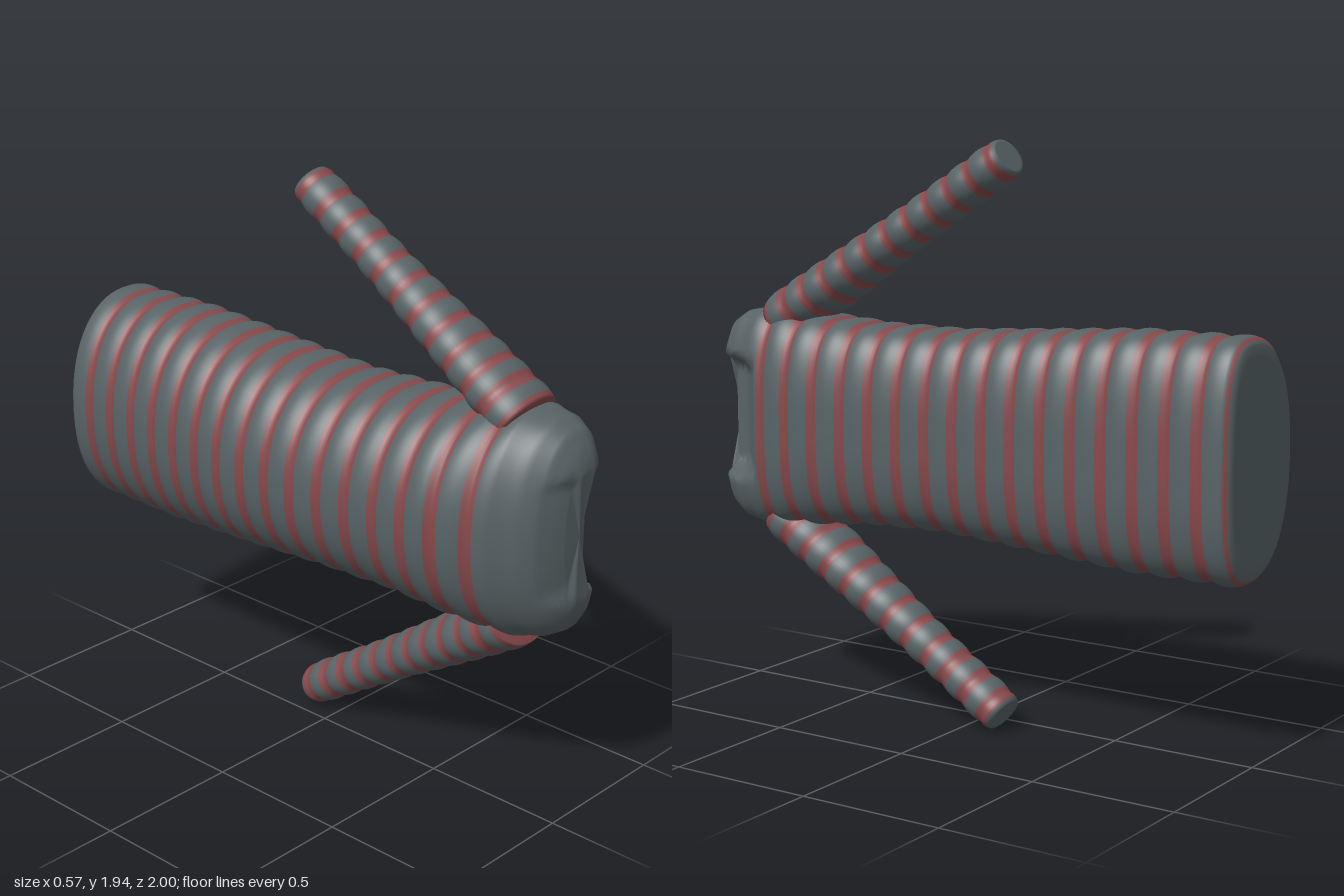
import * as THREE from 'three';

const GREY = new THREE.MeshStandardMaterial({ color: 0x586366 });
const RED = new THREE.MeshStandardMaterial({ color: 0x87494b });
const SIDES = 80;
const smooth = THREE.MathUtils.smoothstep;

// Smoothed lookup in rows of [key, ...values]
function sample(rows, k) {
  let i = 0;
  while (i < rows.length - 2 && k > rows[i + 1][0]) i++;
  const a = rows[i], b = rows[i + 1];
  const t = THREE.MathUtils.clamp((k - a[0]) / (b[0] - a[0]), 0, 1);
  return a.slice(1).map((v, n) => v + (b[n + 1] - v) * t);
}

// Skin closed rings of points; isRed(i) picks the colour of band i.
// Both colours share the same vertices, so shading stays continuous.
function loft(name, rings, isRed) {
  const n = rings[0].length, pos = [], all = [], red = [], grey = [];
  rings.forEach(r => r.forEach(p => pos.push(p.x, p.y, p.z)));
  for (let i = 0; i < rings.length - 1; i++) {
    for (let j = 0; j < n; j++) {
      const a = i * n + j, b = i * n + (j + 1) % n;
      const quad = [a, b, a + n, b, b + n, a + n];
      all.push(...quad);
      (isRed(i) ? red : grey).push(...quad);
    }
  }
  const full = new THREE.BufferGeometry();
  full.setAttribute('position', new THREE.Float32BufferAttribute(pos, 3));
  full.setIndex(all);
  full.computeVertexNormals();
  const group = new THREE.Group();
  group.name = name;
  for (const [label, index, mat] of [['GreyBands', grey, GREY], ['RedBands', red, RED]]) {
    const g = new THREE.BufferGeometry();
    g.setAttribute('position', full.attributes.position);
    g.setAttribute('normal', full.attributes.normal);
    g.setIndex(index);
    const mesh = new THREE.Mesh(g, mat);
    mesh.name = name + label;
    group.add(mesh);
  }
  return group;
}

// Copy of a ring, shrunk towards its middle
function shrink(ring, s) {
  const c = new THREE.Vector3();
  ring.forEach(p => c.addScaledVector(p, 1 / ring.length));
  return ring.map(p => p.clone().sub(c).multiplyScalar(s).add(c));
}

// Rounded rib swelling, one rib per period
const rib = (s, period) => Math.abs(Math.sin(Math.PI * s / period));

// Body outline along z: min x, max x, half height
const BODY = [
  [-1.00, -0.225, 0.18, 0.37], [-0.98, -0.25, 0.195, 0.385], [-0.60, -0.265, 0.21, 0.383],
  [-0.20, -0.285, 0.225, 0.355], [0.10, -0.28, 0.23, 0.335], [0.40, -0.25, 0.25, 0.34],
  [0.62, -0.24, 0.275, 0.36], [0.72, -0.205, 0.27, 0.372], [0.82, -0.17, 0.262, 0.38],
  [0.90, -0.115, 0.245, 0.365], [0.95, -0.07, 0.22, 0.335], [0.985, -0.02, 0.19, 0.28],
  [1.00, 0.02, 0.16, 0.23],
];

function bodyRing(z) {
  const [x0, x1, h] = sample(BODY, z);
  const xc = x0 + 0.6 * (x1 - x0);
  const swell = 0.012 * (rib(z + 1, 0.11) - 0.5) * (1 - smooth(z, 0.75, 0.9));
  const ring = [];
  for (let j = 0; j < SIDES; j++) {
    const t = j / SIDES * Math.PI * 2, c = Math.cos(t), s = Math.sin(t);
    const e = 2 / (c > 0 ? 3 : 2.2);
    const w = (c > 0 ? x1 - xc : xc - x0) + swell;
    const dy = Math.sign(s) * Math.abs(s) ** e * (h + swell);
    let x = xc + Math.sign(c) * Math.abs(c) ** e * w, zz = z;
    // scooped window in the front corner
    const win = 1 - smooth(Math.abs(dy), 0.17, 0.215);
    const limit = 0.24 - 0.12 * smooth(z, 0.79, 0.95);
    if (z > 0.79 && x > limit) x += (limit - x) * win;
    zz -= 0.02 * win * smooth(z, 0.92, 1);
    ring.push(new THREE.Vector3(x, 0.985 + dy, zz));
  }
  return ring;
}

function makeBody() {
  const steps = 200, rings = [], zs = [];
  const add = (ring, z) => { rings.push(ring); zs.push(z); };
  const back = bodyRing(-1), front = bodyRing(1);
  for (const s of [0, 0.5, 0.9]) add(shrink(back, s), -1);
  for (let i = 0; i <= steps; i++) add(bodyRing(-1 + 2 * i / steps), -1 + 2 * i / steps);
  for (const s of [0.9, 0.5, 0]) add(shrink(front, s), 1);
  // red runs along the grooves, the head stays grey
  return loft('body', rings, i => zs[i] > -0.999 && zs[i] < 0.82 && rib(zs[i] + 1.005, 0.11) < 0.6);
}

function makeArm(name, from, to) {
  const dir = to.clone().sub(from), length = dir.length();
  dir.normalize();
  const u = new THREE.Vector3(1, 0, 0);
  u.addScaledVector(dir, -u.dot(dir)).normalize();
  const v = dir.clone().cross(u);
  const steps = 90, rings = [];
  for (let i = 0; i <= steps; i++) {
    const t = i / steps, s = t * length;
    const extra = 0.008 * (rib(s, 0.095) - 0.5) - 0.012 * smooth(t, 0.98, 1);
    const a = 0.125 - 0.047 * smooth(t, 0, 0.75) + extra;
    const b = 0.092 - 0.022 * smooth(t, 0, 0.75) + extra;
    const c = from.clone().addScaledVector(dir, s);
    const ring = [];
    for (let j = 0; j < 40; j++) {
      const q = j / 40 * Math.PI * 2;
      ring.push(c.clone().addScaledVector(u, a * Math.cos(q)).addScaledVector(v, b * Math.sin(q)));
    }
    rings.push(ring);
  }
  const last = rings[steps];
  rings.unshift(shrink(rings[0], 0));
  for (const s of [0.85, 0]) rings.push(shrink(last, s));
  return loft(name, rings, i => i < steps && rib((i - 0.5) / steps * length, 0.095) < 0.6);
}

export function createModel() {
  const model = new THREE.Group();
  model.name = 'ribbedBodyWithArms';
  const V = (x, y, z) => new THREE.Vector3(x, y, z);
  model.add(
    makeBody(),
    makeArm('upperArm', V(0.08, 1.32, 0.78), V(0.075, 1.9, -0.13)),
    makeArm('lowerArm', V(0.08, 0.645, 0.78), V(0.1, 0.06, -0.13)),
  );
  return model;
}
